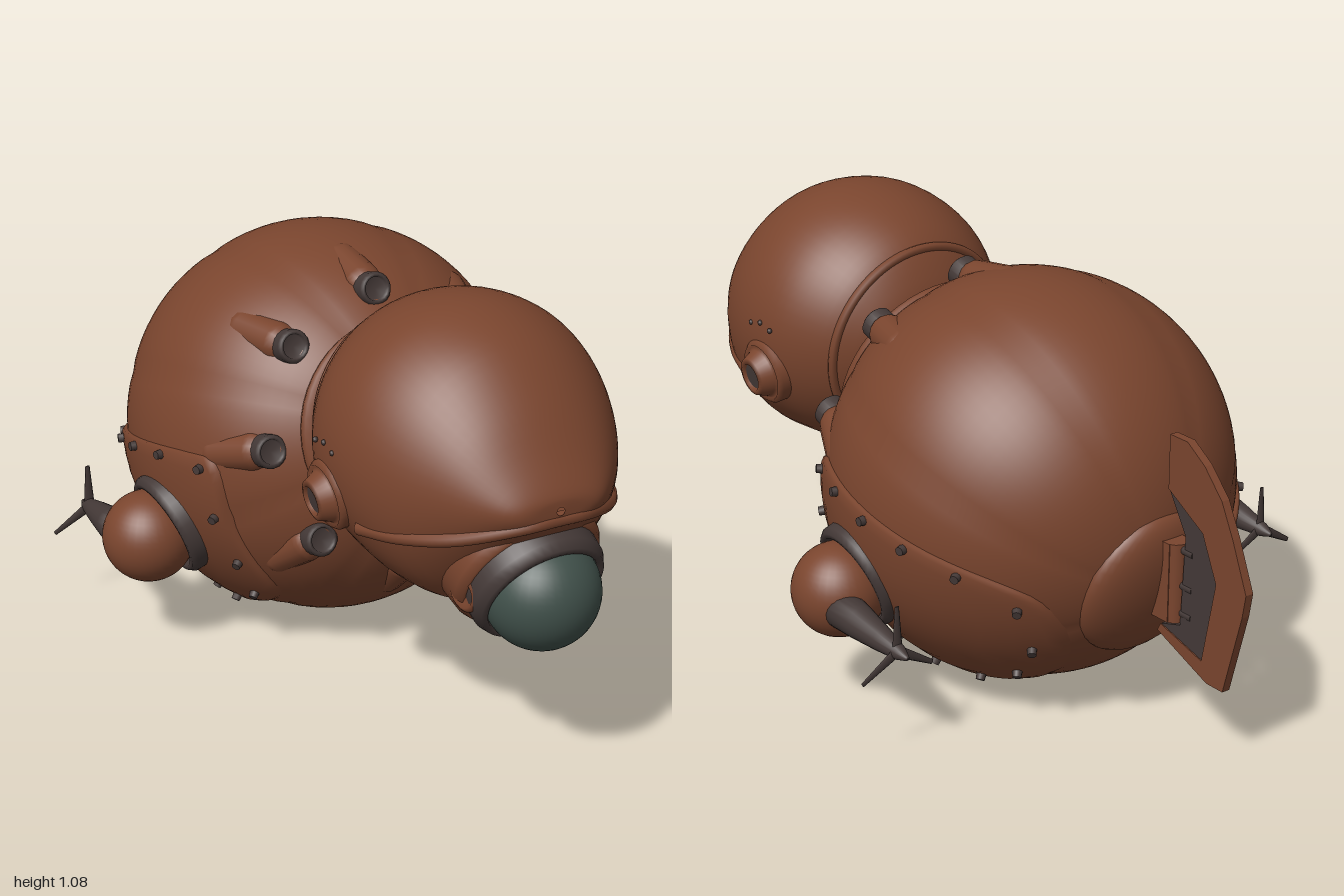
import * as THREE from 'three';
import { mergeVertices } from 'three/addons/utils/BufferGeometryUtils.js';

const paint = (color) => new THREE.MeshStandardMaterial({ color, side: THREE.DoubleSide });
const V = (x, y, z) => new THREE.Vector3(x, y, z);

export function createModel() {
  const model = new THREE.Group();
  const brown = paint(0x7a452e), dark = paint(0x443937), glass = paint(0x40504a);

  const add = (name, geo, mat, pos = [0, 0, 0], parent = model) => {
    const m = new THREE.Mesh(geo, mat);
    m.name = name;
    m.position.set(...pos);
    parent.add(m);
    return m;
  };
  // Turn a mesh so that its local axis points along dir
  const aim = (mesh, dir, axis = V(0, 1, 0)) => {
    mesh.quaternion.setFromUnitVectors(axis, dir.clone().normalize());
    return mesh;
  };
  const lathe = (pts, seg = 36) => new THREE.LatheGeometry(pts.map(p => new THREE.Vector2(...p)), seg);

  // Skin a list of equal rings of points, ordered back to front
  const loft = (rings) => {
    const n = rings[0].length, idx = [];
    for (let i = 0; i < rings.length - 1; i++) for (let j = 0; j < n; j++) {
      const a = i * n + j, b = i * n + (j + 1) % n;
      idx.push(a, b, a + n, b, b + n, a + n);
    }
    const g = new THREE.BufferGeometry().setFromPoints(rings.flat());
    g.setIndex(idx);
    g.computeVertexNormals();
    return g;
  };

  // Body: a sphere of eight soft gores about an axis pitched upward
  const R = 0.505, C = V(0, 0.51, -0.21);
  const body = new THREE.Group();
  body.name = 'body';
  body.position.copy(C);
  body.rotation.x = -0.3;
  model.add(body);
  let hull = new THREE.SphereGeometry(R, 96, 48).rotateX(Math.PI / 2);
  hull.deleteAttribute('uv');
  hull.deleteAttribute('normal');
  hull = mergeVertices(hull, 1e-5);
  const hp = hull.attributes.position, v = V(0, 0, 0);
  for (let i = 0; i < hp.count; i++) {
    v.fromBufferAttribute(hp, i);
    const across = Math.hypot(v.x, v.y) / R;
    const lobe = Math.sqrt(Math.abs(Math.cos(4 * Math.atan2(v.x, v.y)))) - 0.8;
    v.multiplyScalar(1 + 0.012 * lobe * across);
    hp.setXYZ(i, v.x, v.y, v.z);
  }
  hull.computeVertexNormals();
  add('hull', hull, brown, [0, 0, 0], body);

  // Neck joint and its rings
  add('neck', new THREE.CylinderGeometry(0.21, 0.25, 0.2, 40).rotateX(Math.PI / 2), dark, [0, 0, 0.48], body);
  add('neckRing', new THREE.TorusGeometry(0.25, 0.022, 10, 48), brown, [0, 0, 0.44], body);

  // Ring of eight ports, each with a fairing behind it
  for (let k = 0; k < 8; k++) {
    const a = k * Math.PI / 4;
    const at = (polar, r) => V(Math.sin(a) * Math.sin(polar) * r, Math.cos(a) * Math.sin(polar) * r, Math.cos(polar) * r);
    const out = at(0.74, 1), toPole = at(0.74 - Math.PI / 2, 1);
    aim(add('port', lathe([[0, -0.07], [0.042, -0.07], [0.042, 0.04], [0.036, 0.046], [0.03, 0.046], [0.028, 0.036], [0, 0.036]], 20),
      dark, at(0.75, 0.495).toArray(), body), out.clone().addScaledVector(toPole, 0.9));
    aim(add('portFairing', new THREE.CapsuleGeometry(0.05, 0.11, 6, 16), brown, at(0.92, 0.47).toArray(), body),
      at(0.82, 0.48).sub(at(1.02, 0.46)));
  }

  // Tail boss, fin bracket and fin
  add('tailBoss', new THREE.SphereGeometry(0.2, 36, 20).scale(1, 1, 0.36), brown, [0, 0, -0.46], body);
  add('finBracket', new THREE.BoxGeometry(0.06, 0.2, 0.07), brown, [0, 0.415, -0.725]);
  add('bracketCap', new THREE.CylinderGeometry(0.03, 0.03, 0.2, 16), brown, [0, 0.415, -0.75]);
  const plate = (name, pts, depth, mat) => {
    const shape = new THREE.Shape(pts.map(p => new THREE.Vector2(...p)));
    const g = new THREE.ExtrudeGeometry(shape, { depth, bevelEnabled: false });
    add(name, g.translate(0, 0, -depth / 2).rotateY(Math.PI / 2), mat);
  };
  plate('finRim', [[0.73, 0.775], [0.79, 0.775], [0.85, 0.735], [0.91, 0.67], [0.95, 0.59], [1, 0.47], [0.99, 0.41],
    [0.935, 0.2], [0.88, 0.2], [0.705, 0.27], [0.715, 0.29], [0.86, 0.25], [0.9, 0.46], [0.85, 0.57], [0.73, 0.64]], 0.022, brown);
  plate('finPlate', [[0.73, 0.64], [0.85, 0.57], [0.91, 0.46], [0.865, 0.24], [0.715, 0.29], [0.78, 0.31], [0.79, 0.54]], 0.016, dark);
  for (const y of [0.34, 0.41, 0.5])
    add('finHinge', new THREE.CylinderGeometry(0.011, 0.011, 0.06, 10).rotateX(Math.PI / 2), dark, [0, y, -0.785]);

  // Head: ellipse sections from back to front, as [z, top, bottom, half width]
  const sections = [[0.18, 0.74, 0.72, 0.01], [0.195, 0.85, 0.58, 0.16], [0.25, 0.945, 0.47, 0.245], [0.31, 1.01, 0.425, 0.295],
    [0.4, 1.06, 0.395, 0.338], [0.5, 1.08, 0.385, 0.35], [0.6, 1.065, 0.378, 0.338], [0.7, 1.02, 0.4, 0.3],
    [0.8, 0.93, 0.51, 0.235], [0.88, 0.825, 0.62, 0.165], [0.925, 0.76, 0.68, 0.1], [0.932, 0.73, 0.71, 0.01]];
  const heights = new THREE.CatmullRomCurve3(sections.map(s => V(s[0], s[1], s[2])), false, 'catmullrom', 0.5);
  const widths = new THREE.CatmullRomCurve3(sections.map(s => V(s[3], 0, 0)), false, 'catmullrom', 0.5);
  const headRing = (t, grow = 0) => {
    const h = heights.getPoint(t), w = widths.getPoint(t).x + grow;
    const lean = 0.13 * Math.min(1, Math.max(0, (0.5 - h.x) / 0.25));
    return Array.from({ length: 64 }, (_, j) => {
      const a = j / 64 * Math.PI * 2;
      const y = (h.y + h.z) / 2 + Math.sin(a) * ((h.y - h.z) / 2 + grow);
      return V(Math.cos(a) * w, y, h.x + (0.73 - y) * lean);
    });
  };
  add('head', loft(Array.from({ length: 45 }, (_, i) => headRing(i / 44))), brown);
  const seam = new THREE.CatmullRomCurve3(headRing(2.3 / 11, -0.002), true);
  add('headRearLip', new THREE.TubeGeometry(seam, 96, 0.012, 8, true), brown);
  const lip = [[0.315, 0.6, 0.58], [0.276, 0.62, 0.7], [0.2, 0.65, 0.82], [0.085, 0.69, 0.91]];
  const brow = new THREE.CatmullRomCurve3([...lip, [0, 0.695, 0.918], ...lip.slice().reverse().map(p => [-p[0], p[1], p[2]])].map(p => V(...p)));
  add('browLip', new THREE.TubeGeometry(brow, 60, 0.018, 10), brown);

  // Snout: stepped collar, dark ring and glass dome, tipped downward
  const snoutDir = V(0, -0.45, 0.89);
  aim(add('snoutCollar', lathe([[0.2, -0.16], [0.185, -0.05], [0.175, -0.03], [0.16, -0.03]], 48), brown, [0, 0.5, 0.845]), snoutDir);
  aim(add('snoutRing', lathe([[0.168, -0.06], [0.166, 0.005], [0.155, 0.028], [0.14, 0.03], [0.13, 0]], 48), dark, [0, 0.5, 0.845]), snoutDir);
  add('snoutDome', new THREE.SphereGeometry(0.138, 40, 28), glass, [0, 0.492, 0.862]);

  // Side panel outline as [z, y]
  const outline = new THREE.CatmullRomCurve3([[0.05, 0.57], [-0.02, 0.575], [-0.3, 0.52], [-0.56, 0.43], [-0.61, 0.38], [-0.6, 0.25], [-0.51, 0.13],
    [-0.42, 0.075], [-0.3, 0.06], [-0.08, 0.09], [0.06, 0.17], [0.09, 0.24], [0.085, 0.4]].map(p => V(0, p[1], p[0])), true);
  const edge = outline.getSpacedPoints(80).slice(0, 80);
  const mid = V(0, 0.32, -0.22);
  const onBody = (p, r, s) => {
    const d2 = (p.y - C.y) ** 2 + (p.z - C.z) ** 2;
    return V(s * Math.sqrt(Math.max(0, r * r - d2)), p.y, p.z);
  };

  for (const s of [-1, 1]) {
    const side = new THREE.Group();
    side.name = s > 0 ? 'leftSide' : 'rightSide';
    model.add(side);

    // Riveted panel
    const ring = (f, r) => edge.map(p => onBody(mid.clone().lerp(p, f), r, s));
    add('sidePanel', loft([ring(1, 0.488), ring(1, 0.514), ...[0.97, 0.85, 0.7, 0.5, 0.3, 0.1, 0.001].map(f => ring(f, 0.52))]), brown, [0, 0, 0], side);
    for (let k = 0; k < 14; k++) {
      const p = onBody(mid.clone().lerp(outline.getPointAt(k / 14), 0.92), 0.522, s);
      aim(add('rivet', new THREE.CylinderGeometry(0.011, 0.013, 0.024, 10), dark, p.toArray(), side), p.clone().sub(C));
    }

    // Engine pod on its mounting ring
    const podDir = V(s * 0.93, -0.35, 0.06);
    aim(add('podMount', lathe([[0.14, -0.07], [0.138, 0.015], [0.128, 0.028], [0.115, 0.028], [0.105, 0]], 40), dark, [s * 0.465, 0.335, -0.14], side), podDir);
    add('enginePod', new THREE.SphereGeometry(0.117, 36, 24), brown, [s * 0.53, 0.312, -0.14], side);

    // Propeller shaft and three blades
    aim(add('propellerShaft', lathe([[0, -0.14], [0.05, -0.14], [0.042, -0.06], [0.03, 0.03], [0.018, 0.1], [0.006, 0.13], [0, 0.132]], 20),
      dark, [s * 0.57, 0.285, -0.345], side), V(0, -0.1, -1));
    for (let k = 0; k < 3; k++) {
      const blade = new THREE.CylinderGeometry(0.006, 0.015, 0.115, 8).scale(1, 1, 0.35).translate(0, 0.057, 0);
      add('propellerBlade', blade, dark, [s * 0.57, 0.275, -0.435], side).rotation.z = k * Math.PI * 2 / 3;
    }

    // Ear disc: stepped ring with a dark centre
    const earPos = [s * 0.328, 0.642, 0.468];
    const earDir = V(s, -0.15, 0);
    aim(add('earDisc', lathe([[0.088, -0.06], [0.086, 0.01], [0.076, 0.022], [0.07, 0.015], [0.062, 0.022], [0.05, 0.05], [0.036, 0.055], [0.032, 0.04]], 32),
      brown, earPos, side), earDir);
    aim(add('earCentre', new THREE.CylinderGeometry(0.034, 0.034, 0.05, 24), dark, [s * 0.348, 0.64, 0.468], side), earDir);
    for (const [y, z] of [[0.765, 0.51], [0.775, 0.468], [0.765, 0.425]])
      add('earRivet', new THREE.SphereGeometry(0.007, 8, 6), dark, [s * 0.347, y, z], side);

    // Round cap on each side of the snout
    const cap = lathe([[0.05, -0.05], [0.048, 0.008], [0.036, 0.016], [0.028, 0.006], [0, 0.006]], 24);
    aim(add('snoutSideCap', cap, brown, [s * 0.16, 0.5, 0.8], side), V(s, 0, 0.2));
  }
  return model;
}
